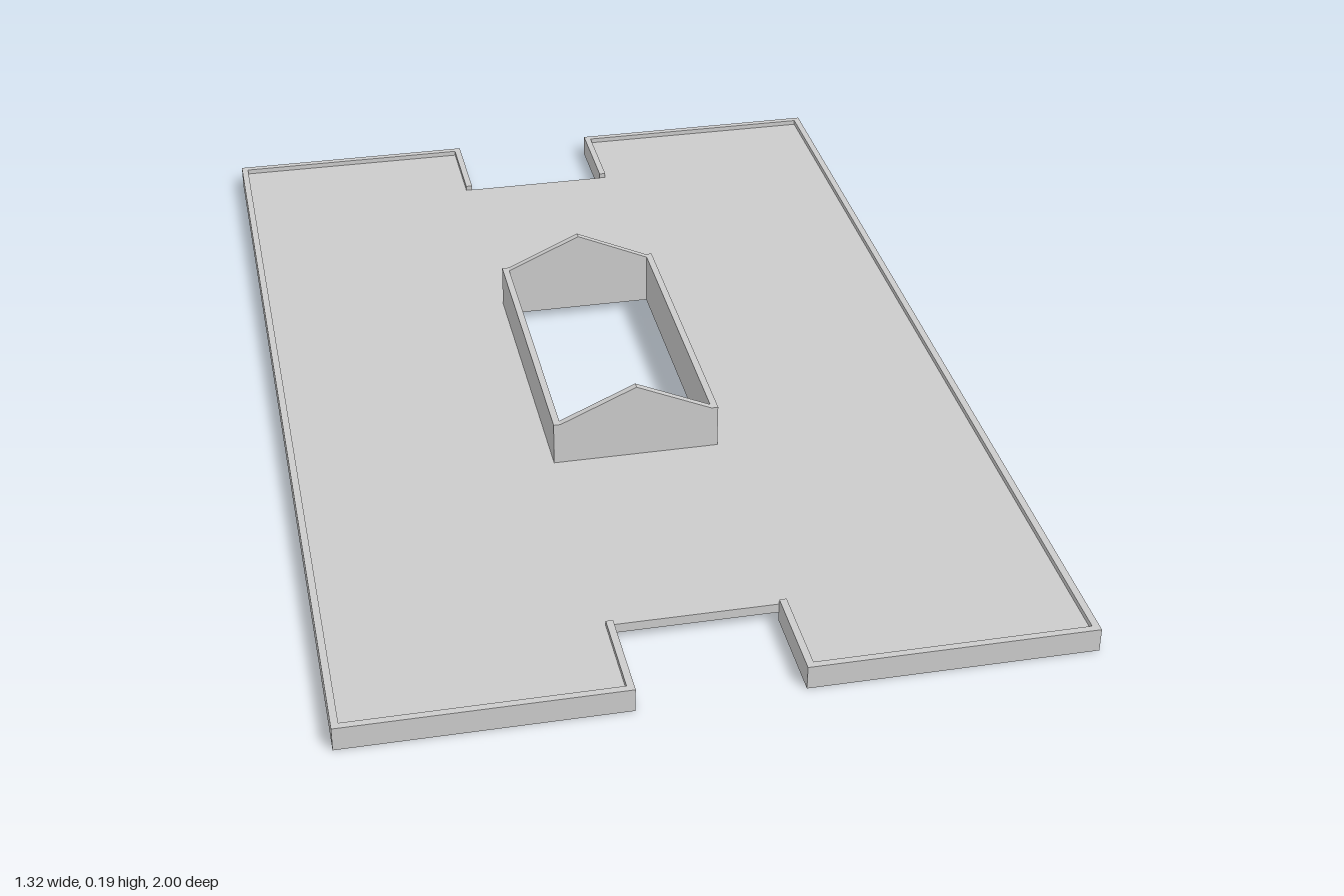
import * as THREE from 'three';

const material = new THREE.MeshStandardMaterial({ color: 0xcccccc, flatShading: true });
const HALF_W = 0.66, HALF_L = 1, RIM = 0.013, RIM_H = 0.045;
const SLAB_Y = 0.017, SLAB_TOP = 0.035;
const NOTCH_L = -0.155, NOTCH_R = 0.14, NOTCH_Z = 0.81;
// collar outline around the central opening
const CL = -0.167, CR = 0.15, CB = -0.297, CF = 0.305, WALL = 0.013, WALL_TOP = 0.12, PEAK = 0.185;

function add(parent, name, geometry) {
  const mesh = new THREE.Mesh(geometry, material);
  mesh.name = name;
  parent.add(mesh);
  return mesh;
}

function block(parent, name, x0, x1, y0, y1, z0, z1) {
  const geometry = new THREE.BoxGeometry(x1 - x0, y1 - y0, z1 - z0);
  geometry.translate((x0 + x1) / 2, (y0 + y1) / 2, (z0 + z1) / 2);
  return add(parent, name, geometry);
}

const points = (list) => list.map(([x, y]) => new THREE.Vector2(x, y));

export function createModel() {
  const model = new THREE.Group();
  model.name = 'notchedPanel';

  // Thin slab with a notch at each end and a central opening (shape y = -z)
  const w = HALF_W - RIM / 2, l = HALF_L - RIM / 2;
  const outline = new THREE.Shape(points([
    [-w, -l], [NOTCH_L, -l], [NOTCH_L, -NOTCH_Z], [NOTCH_R, -NOTCH_Z], [NOTCH_R, -l], [w, -l],
    [w, l], [NOTCH_R, l], [NOTCH_R, NOTCH_Z], [NOTCH_L, NOTCH_Z], [NOTCH_L, l], [-w, l],
  ]));
  const x0 = CL + WALL, x1 = CR - WALL, z0 = CB + WALL, z1 = CF - WALL;
  outline.holes.push(new THREE.Path(points([[x0, -z1], [x0, -z0], [x1, -z0], [x1, -z1]])));
  const slab = new THREE.ExtrudeGeometry(outline, { depth: SLAB_TOP - SLAB_Y, bevelEnabled: false });
  slab.rotateX(-Math.PI / 2).translate(0, SLAB_Y, 0);
  add(model, 'slab', slab);

  // Raised rim, standing above and below the slab, open at the inner notch edges
  const rim = new THREE.Group();
  rim.name = 'rim';
  model.add(rim);
  block(rim, 'rightRim', -HALF_W, -HALF_W + RIM, 0, RIM_H, -HALF_L, HALF_L);
  block(rim, 'leftRim', HALF_W - RIM, HALF_W, 0, RIM_H, -HALF_L, HALF_L);
  for (const [end, s] of [['front', 1], ['back', -1]]) {
    const span = (a, b) => (s > 0 ? [a, b] : [-b, -a]);
    const edge = span(HALF_L - RIM, HALF_L), side = span(NOTCH_Z, HALF_L - RIM);
    block(rim, end + 'RightRim', -HALF_W + RIM, NOTCH_L, 0, RIM_H, ...edge);
    block(rim, end + 'LeftRim', NOTCH_R, HALF_W - RIM, 0, RIM_H, ...edge);
    block(rim, end + 'NotchRightRim', NOTCH_L - RIM, NOTCH_L, 0, RIM_H, ...side);
    block(rim, end + 'NotchLeftRim', NOTCH_R, NOTCH_R + RIM, 0, RIM_H, ...side);
  }

  // Collar around the opening: two low side walls and two gabled end walls
  const collar = new THREE.Group();
  collar.name = 'collar';
  model.add(collar);
  block(collar, 'rightWall', CL, x0, SLAB_Y, WALL_TOP, z0, z1);
  block(collar, 'leftWall', x1, CR, SLAB_Y, WALL_TOP, z0, z1);
  const gable = new THREE.Shape(points([
    [CL, SLAB_Y], [CR, SLAB_Y], [CR, WALL_TOP], [x1, WALL_TOP],
    [(CL + CR) / 2, PEAK], [x0, WALL_TOP], [CL, WALL_TOP],
  ]));
  for (const [name, z] of [['frontGable', z1], ['backGable', CB]]) {
    const geometry = new THREE.ExtrudeGeometry(gable, { depth: WALL, bevelEnabled: false });
    add(collar, name, geometry).position.z = z;
  }
  return model;
}
